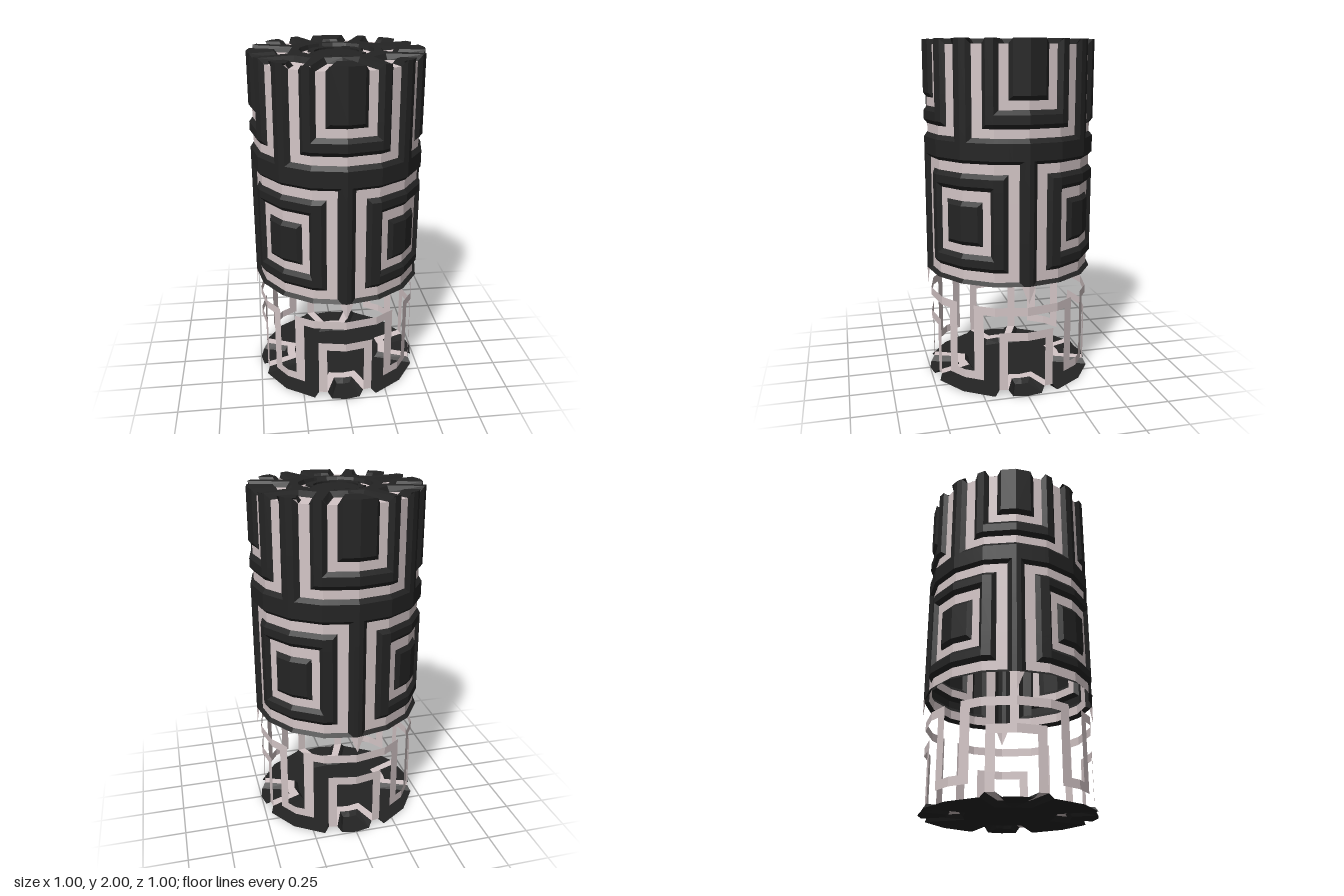
import * as THREE from 'three';

const HIGH = 0.5, LOW = 0.48, STEP = Math.PI / 8;

// Point on a 16-sided prism at an angle in degrees (0 = front)
function onPrism(deg, y, r) {
  const a = THREE.MathUtils.degToRad(deg);
  const rr = r * Math.cos(STEP / 2) / Math.cos((a % STEP) - STEP / 2);
  return [rr * Math.sin(a), y, rr * Math.cos(a)];
}

const polar = (r, degs) => degs.map(d => {
  const a = THREE.MathUtils.degToRad(d);
  return [r * Math.sin(a), r * Math.cos(a)];
});

// Repeat the triangles of a 45 degree wedge by mirroring and quarter turns
function wedgeMesh(name, tris, material) {
  const pos = [];
  for (let k = 0; k < 4; k++) {
    const c = Math.round(Math.cos(k * Math.PI / 2)), s = Math.round(Math.sin(k * Math.PI / 2));
    for (const m of [1, -1]) {
      for (const t of tris) {
        for (const [x, y, z] of m > 0 ? t : [t[0], t[2], t[1]]) {
          pos.push(c * m * x + s * z, y, c * z - s * m * x);
        }
      }
    }
  }
  const g = new THREE.BufferGeometry();
  g.setAttribute('position', new THREE.Float32BufferAttribute(pos, 3));
  g.computeVertexNormals();
  const mesh = new THREE.Mesh(g, material);
  mesh.name = name;
  return mesh;
}

// Strip of quads between two flat [x, z] lines at heights ya and yb
function strip(a, ya, b, yb) {
  const out = [], p = ([x, z], y) => [x, y, z];
  for (let i = 0; i < a.length - 1; i++) {
    const A = p(a[i], ya), B = p(b[i], yb), C = p(b[i + 1], yb), D = p(a[i + 1], ya);
    out.push([A, B, C], [A, C, D]);
  }
  return out;
}

// Relief wall: inlay rectangles [u0, u1, y0, y1] are sunk, with bevels around them
function relief(us, ys, rects) {
  const e = 1e-4, dark = [], light = [];
  const inside = (u, y) => rects.some(r => u > r[0] - e && u < r[1] + e && y > r[2] - e && y < r[3] + e);
  const node = (u, y) => {
    const low = inside(u, y);
    return { low, p: onPrism(u, low && y === 2 ? 1.97 : y, low ? LOW : HIGH) };
  };
  for (let i = 0; i < us.length - 1; i++) {
    for (let j = 0; j < ys.length - 1; j++) {
      const a = node(us[i], ys[j]), b = node(us[i + 1], ys[j]);
      const c = node(us[i + 1], ys[j + 1]), d = node(us[i], ys[j + 1]);
      const out = inside((us[i] + us[i + 1]) / 2, (ys[j] + ys[j + 1]) / 2) ? light : dark;
      if (b.low === d.low) out.push([a.p, b.p, c.p], [a.p, c.p, d.p]);
      else out.push([a.p, b.p, d.p], [b.p, c.p, d.p]);
    }
  }
  return { dark, light };
}

export function createModel() {
  const model = new THREE.Group();
  model.name = 'inlaidCylinder';
  const black = new THREE.MeshStandardMaterial({ color: 0x242424, side: THREE.DoubleSide });
  black.name = 'charcoal';
  const pink = new THREE.MeshStandardMaterial({ color: 0xd4c6c7, side: THREE.DoubleSide });
  pink.name = 'palePink';
  const add = (name, tris, mat) => model.add(wedgeMesh(name, tris, mat));

  // Upper wall with nested U inlays
  const upper = relief(
    [0, 10.6, 13.5, 19.6, 22.5, 27.7, 30.6, 37.9, 40.8, 45],
    [1.36, 1.455, 1.48, 1.53, 1.555, 1.605, 1.63, 1.68, 1.705, 2],
    [[13.5, 19.6, 1.63, 2], [0, 19.6, 1.63, 1.68], [30.6, 37.9, 1.48, 2], [0, 37.9, 1.48, 1.53]]);
  add('upperWall', upper.dark, black);
  add('upperInlay', upper.light, pink);

  // Middle wall with nested square inlays centred on the diagonals
  const middle = relief(
    [0, 3, 6, 13.4, 16.4, 22.5, 25, 30.6, 33.6, 45],
    [0.66, 0.68, 0.735, 0.76, 0.805, 0.83, 0.88, 0.905, 1.105, 1.13, 1.19, 1.215, 1.26, 1.285, 1.34, 1.36],
    [[6, 13.4, 0.68, 1.34], [6, 45, 0.68, 0.735], [6, 45, 1.285, 1.34],
      [25, 30.6, 0.83, 1.19], [25, 45, 0.83, 0.88], [25, 45, 1.13, 1.19]]);
  add('middleWall', middle.dark, black);
  add('middleInlay', middle.light, pink);

  // Open frames below the wall
  const frames = relief(
    [0, 13.5, 19.6, 22.5, 30.6, 37.9, 45], [0.03, 0.08, 0.13, 0.33, 0.38, 0.48, 0.53],
    [[13.5, 19.6, 0.03, 0.38], [0, 19.6, 0.33, 0.38], [30.6, 37.9, 0.08, 0.53],
      [0, 37.9, 0.48, 0.53], [30.6, 45, 0.08, 0.13]]);
  add('lowerFrames', frames.light, pink);

  // Small points hanging from the wall
  add('hangingPoints', [[[0, 0.66, 0.5], [0, 0.56, 0.5], [0.04, 0.66, 0.492]]], pink);

  // Channel outlines on the end faces, from the hub edge outwards
  const U = [
    [[0, 0.25], [0.095, 0.24], [0.185, 0.463]],
    [[0, 0.28], [0.08, 0.265], [0.16, 0.45]],
    [[0, 0.33], [0.055, 0.325], [0.108, 0.459]],
    [[0, 0.35], [0.04, 0.345], [0.085, 0.482]],
    [[0, 0.5], [0.04, 0.492], [0.085, 0.483]]];
  const V = [
    [[0.22, 0.442], [0.165, 0.245], [0.205, 0.205]],
    [[0.243, 0.404], [0.19, 0.25], [0.22, 0.22]],
    [[0.288, 0.374], [0.257, 0.29], [0.273, 0.273]],
    [[0.305, 0.385], [0.28, 0.305], [0.293, 0.293]],
    [[0.305, 0.386], [0.33, 0.37], [0.354, 0.354]]];
  const channel = (L, face, floor) => ({
    dark: [...strip(L[0], face, L[1], floor), ...strip(L[2], floor, L[3], face), ...strip(L[3], face, L[4], face)],
    light: strip(L[1], floor, L[2], floor),
  });

  // Top face: hub, spokes and both kinds of channel
  const topU = channel(U, 2, 1.97), topV = channel(V, 2, 1.97);
  const degs = [0, 17, 22.5, 45];
  const hubRim = polar(0.21, degs);
  add('topFace', [
    ...strip(hubRim, 2, [U[0][0], U[0][1], V[0][1], V[0][2]], 2),
    ...strip([U[0][1], U[0][2]], 2, [V[0][1], V[0][0]], 2),
    ...strip([U[0][2], [0.191, 0.462]], 2, [V[0][0], V[0][0]], 2),
    ...topU.dark, ...topV.dark], black);
  add('topInlay', [...topU.light, ...topV.light], pink);

  // Notched cap inside a ring
  const notched = [...polar(0.145, [0, 17]), ...polar(0.168, [21, 45])];
  const ring = polar(0.2, degs), disc = polar(0.125, degs);
  add('topRing', strip(ring, 1.975, notched, 1.975), pink);
  add('topCap', [
    ...strip(hubRim, 2, ring, 1.975),
    ...strip(notched, 1.975, notched, 1.99),
    ...strip(notched, 1.99, disc, 1.99),
    ...strip(disc, 1.99, disc, 1.98),
    ...strip(disc, 1.98, polar(0, degs), 1.98)], black);

  // Base sheet with four channels opening downwards
  const baseU = channel(U, 0, 0.03);
  const diagonal = [[0.16, 0.16], [0.207, 0.207], [0.354, 0.354]];
  add('baseSheet', [
    ...strip([[0, 0], [0, 0]], 0, [U[0][0], U[0][1]], 0),
    ...strip([[0, 0], U[0][1]], 0, [diagonal[0], diagonal[1]], 0),
    ...strip([U[0][1], U[0][2]], 0, [diagonal[1], diagonal[2]], 0),
    ...strip([U[0][2], [0.191, 0.462]], 0, [diagonal[2], diagonal[2]], 0),
    ...baseU.dark], black);
  add('baseInlay', baseU.light, pink);

  return model;
}
